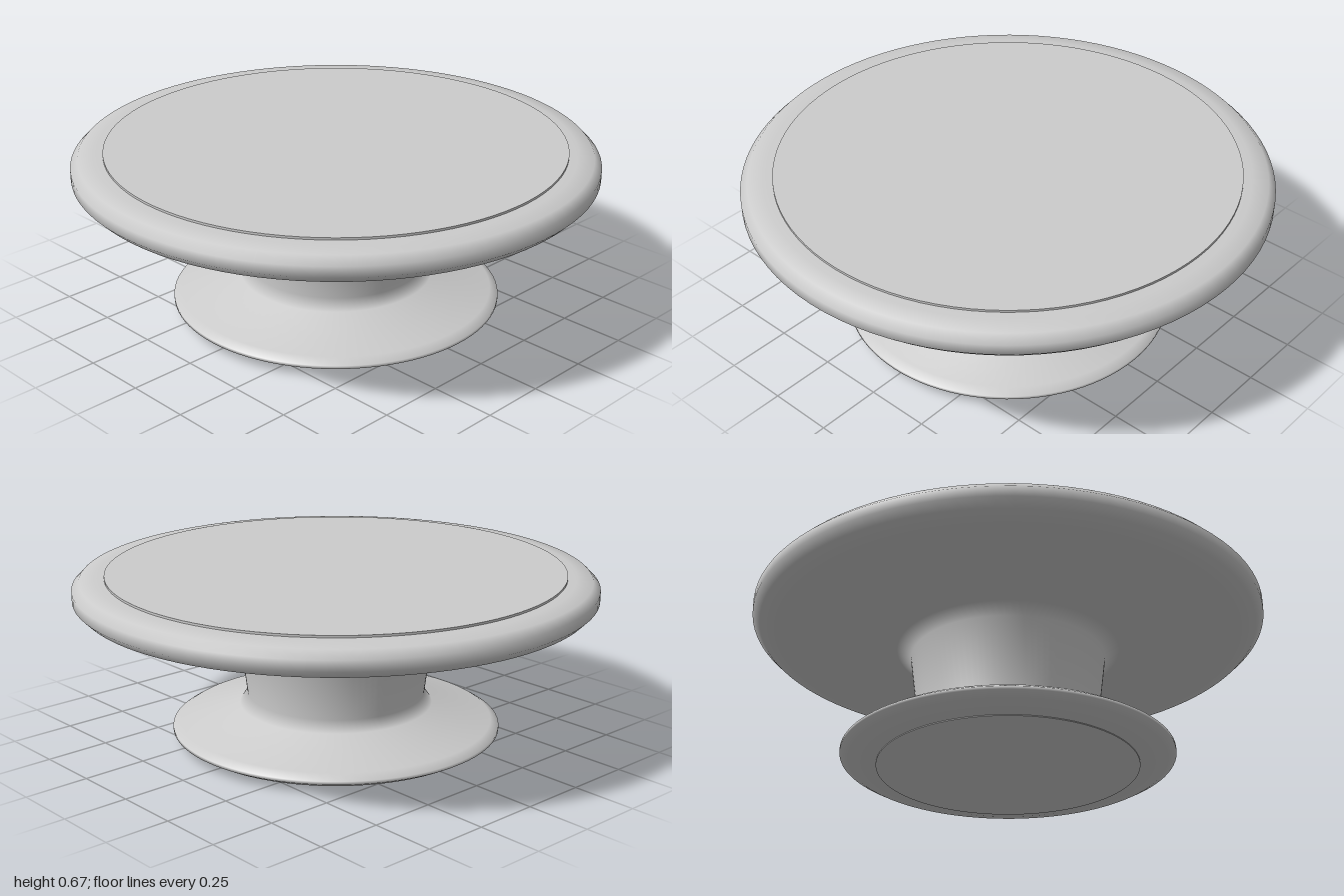
import * as THREE from 'three';

const SEGMENTS = 96;

export function createModel() {
  const group = new THREE.Group();
  const material = new THREE.MeshStandardMaterial({ color: 0xcccccc });

  // Each part is turned from a profile of [radius, height] points, bottom to top.
  function turn(name, profile) {
    const points = profile.map(([r, y]) => new THREE.Vector2(r, y));
    const mesh = new THREE.Mesh(new THREE.LatheGeometry(points, SEGMENTS), material);
    mesh.name = name;
    group.add(mesh);
  }

  // Foot, flared neck and rounded plate as one continuous turned body
  turn('pedestalBody', [
    [0, 0.003], [0.49, 0.003], [0.54, 0.006], [0.605, 0.02], [0.637, 0.038],
    [0.637, 0.05], [0.605, 0.07],
    [0.375, 0.13], [0.345, 0.172],
    [0.38, 0.457], [0.435, 0.49],
    [0.905, 0.53], [0.97, 0.552], [0.998, 0.58],
    [0.998, 0.62], [0.97, 0.648], [0.91, 0.656], [0.85, 0.657], [0, 0.657],
  ]);

  // Thin flat disc set on the plate, with a crisp edge
  const disc = new THREE.Mesh(new THREE.CylinderGeometry(0.876, 0.876, 0.012, SEGMENTS), material);
  disc.name = 'topDisc';
  disc.position.y = 0.659;
  group.add(disc);

  // Flat underside pad that meets the ground
  const pad = new THREE.Mesh(new THREE.CylinderGeometry(0.5, 0.5, 0.006, SEGMENTS), material);
  pad.name = 'footPad';
  pad.position.y = 0.003;
  group.add(pad);

  return group;
}
